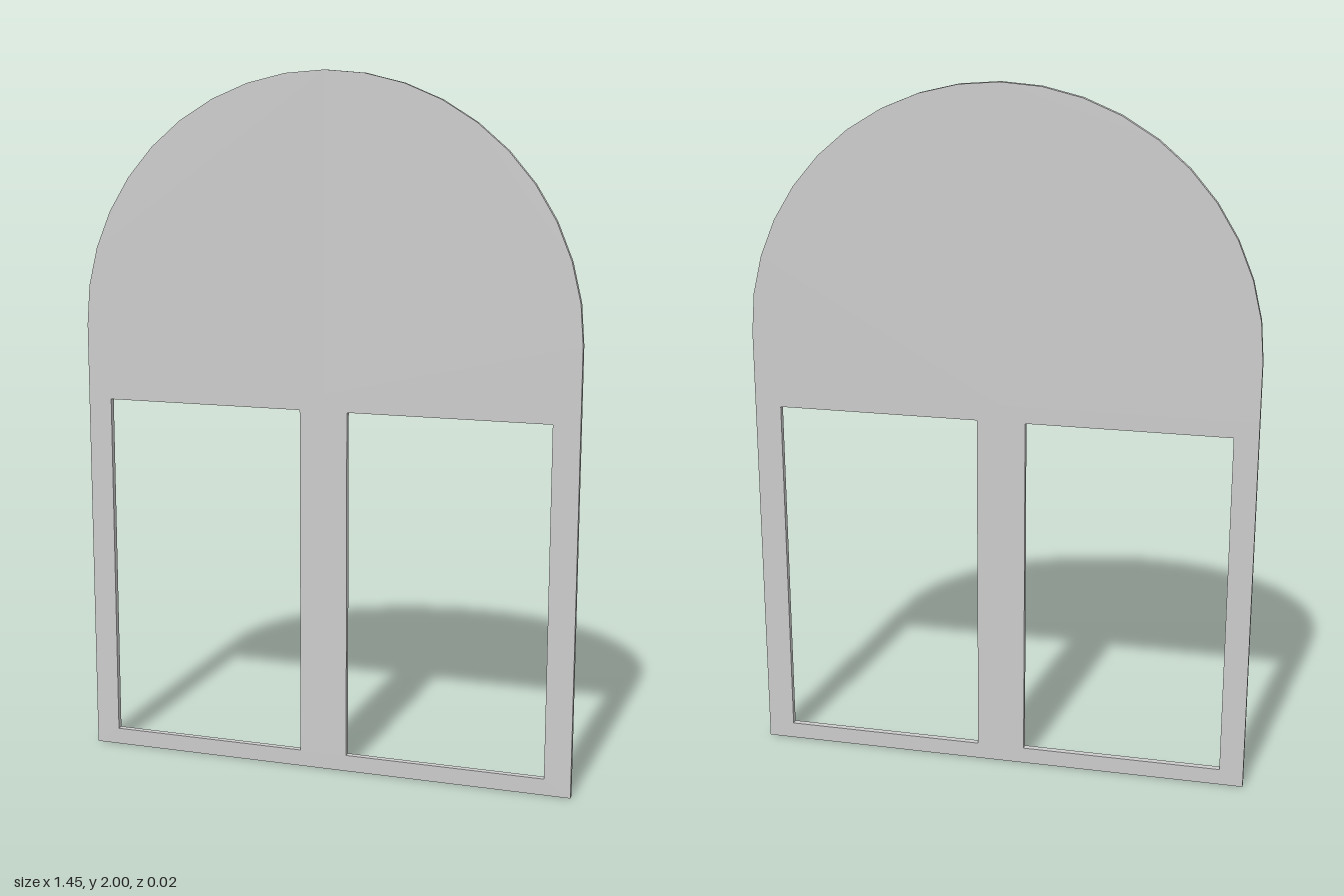
import * as THREE from 'three';

const HALF_WIDTH = 0.723;
const DEPTH = 0.018;
const SPLIT_Y = 1.11; // where the arched leaves meet the lower frame
const SPRING_Y = 2 - HALF_WIDTH; // where the arch starts to curve
const ARC_STEPS = 10;

// rectangle corners, counter-clockwise
function rect(x0, x1, y0, y1) {
  return [[x0, y0], [x1, y0], [x1, y1], [x0, y1]].map(([x, y]) => new THREE.Vector2(x, y));
}

// flat plate centred on z = 0
function plate(name, shape, material) {
  const geometry = new THREE.ExtrudeGeometry(shape, { depth: DEPTH, bevelEnabled: false });
  geometry.translate(0, 0, -DEPTH / 2);
  const mesh = new THREE.Mesh(geometry, material);
  mesh.name = name;
  return mesh;
}

// one half of the solid arched top; side is +1 (left) or -1 (right)
function archHalf(side) {
  const points = [new THREE.Vector2(0, SPLIT_Y), new THREE.Vector2(side * HALF_WIDTH, SPLIT_Y)];
  for (let i = 0; i <= ARC_STEPS; i++) {
    const a = (i / ARC_STEPS) * Math.PI / 2;
    points.push(new THREE.Vector2(
      side * HALF_WIDTH * Math.cos(a),
      SPRING_Y + HALF_WIDTH * Math.sin(a)
    ));
  }
  return new THREE.Shape(points);
}

export function createModel() {
  const group = new THREE.Group();
  group.name = 'archedWindowFrame';
  const material = new THREE.MeshStandardMaterial({ color: 0xcccccc, flatShading: true });

  // lower frame with two tall openings
  const frame = new THREE.Shape(rect(-HALF_WIDTH, HALF_WIDTH, 0, SPLIT_Y));
  for (const [x0, x1] of [[-0.654, -0.073], [0.066, 0.647]]) {
    frame.holes.push(new THREE.Path(rect(x0, x1, 0.048, 1.06)));
  }
  group.add(plate('lowerFrame', frame, material));

  // arched top in two halves meeting at the centre seam
  group.add(plate('leftArchPanel', archHalf(1), material));
  group.add(plate('rightArchPanel', archHalf(-1), material));

  return group;
}
